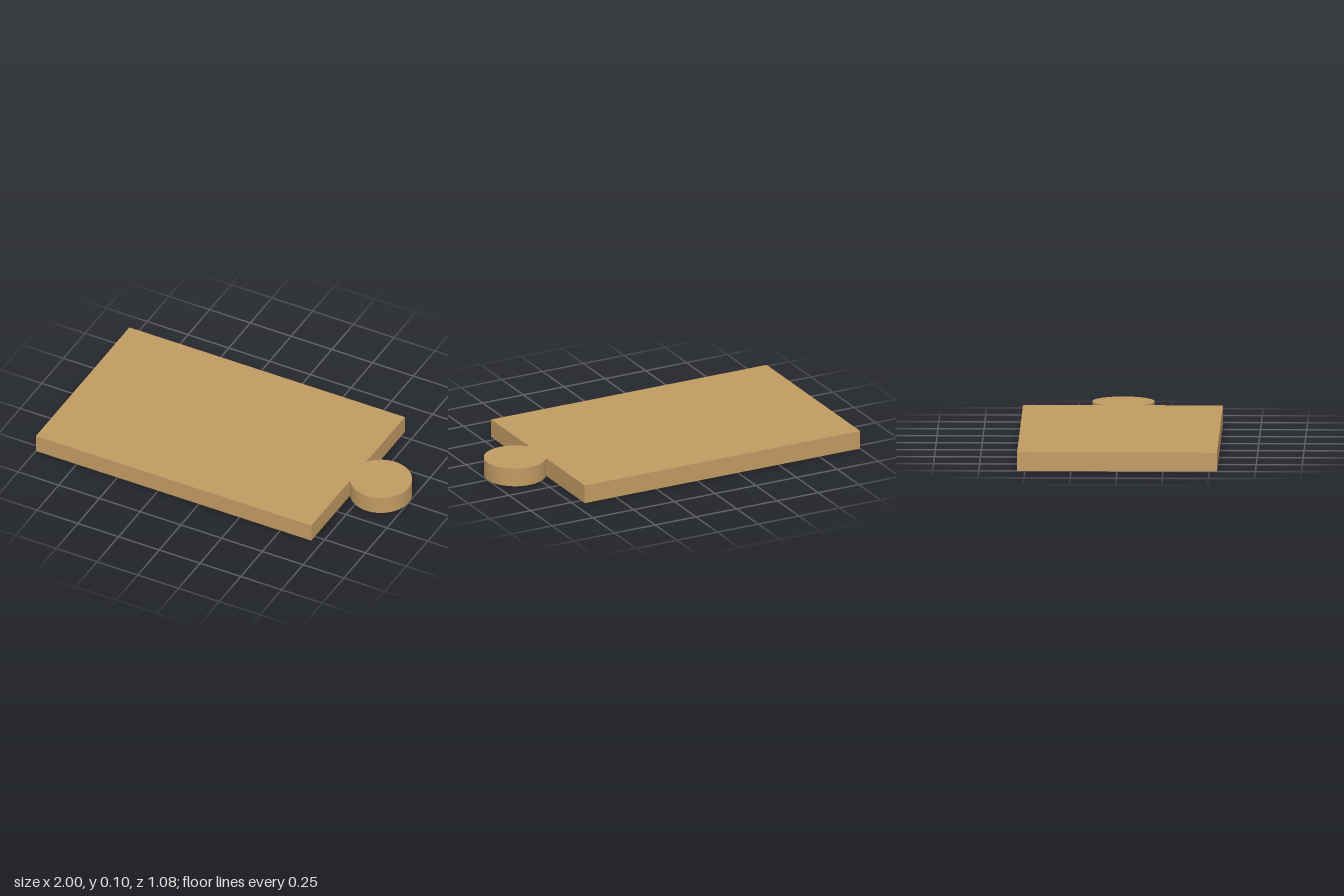
import * as THREE from 'three';
import { toCreasedNormals } from 'three/addons/utils/BufferGeometryUtils.js';

export function createModel() {
  const model = new THREE.Group();
  const halfDepth = 0.542, edgeX = 0.69, thickness = 0.103;
  const tabX = 0.831, tabRadius = 0.169;

  // Board outline: a rectangle whose right edge swells into a round tab
  const neckAngle = Math.acos((edgeX - tabX) / tabRadius);
  const outline = new THREE.Shape();
  outline.moveTo(-1, -halfDepth);
  outline.lineTo(edgeX, -halfDepth);
  outline.absarc(tabX, 0, tabRadius, -neckAngle, neckAngle, false);
  outline.lineTo(edgeX, halfDepth);
  outline.lineTo(-1, halfDepth);
  outline.closePath();

  // Extrude and lay flat, keeping the tab's rim smooth and its edges sharp
  const slab = new THREE.ExtrudeGeometry(outline, {
    depth: thickness, bevelEnabled: false, curveSegments: 32,
  });
  slab.rotateX(-Math.PI / 2);

  const board = new THREE.Mesh(
    toCreasedNormals(slab, 0.5),
    new THREE.MeshStandardMaterial({ color: 0xc19a62 }),
  );
  board.name = 'boardWithRoundTab';
  model.add(board);
  return model;
}
